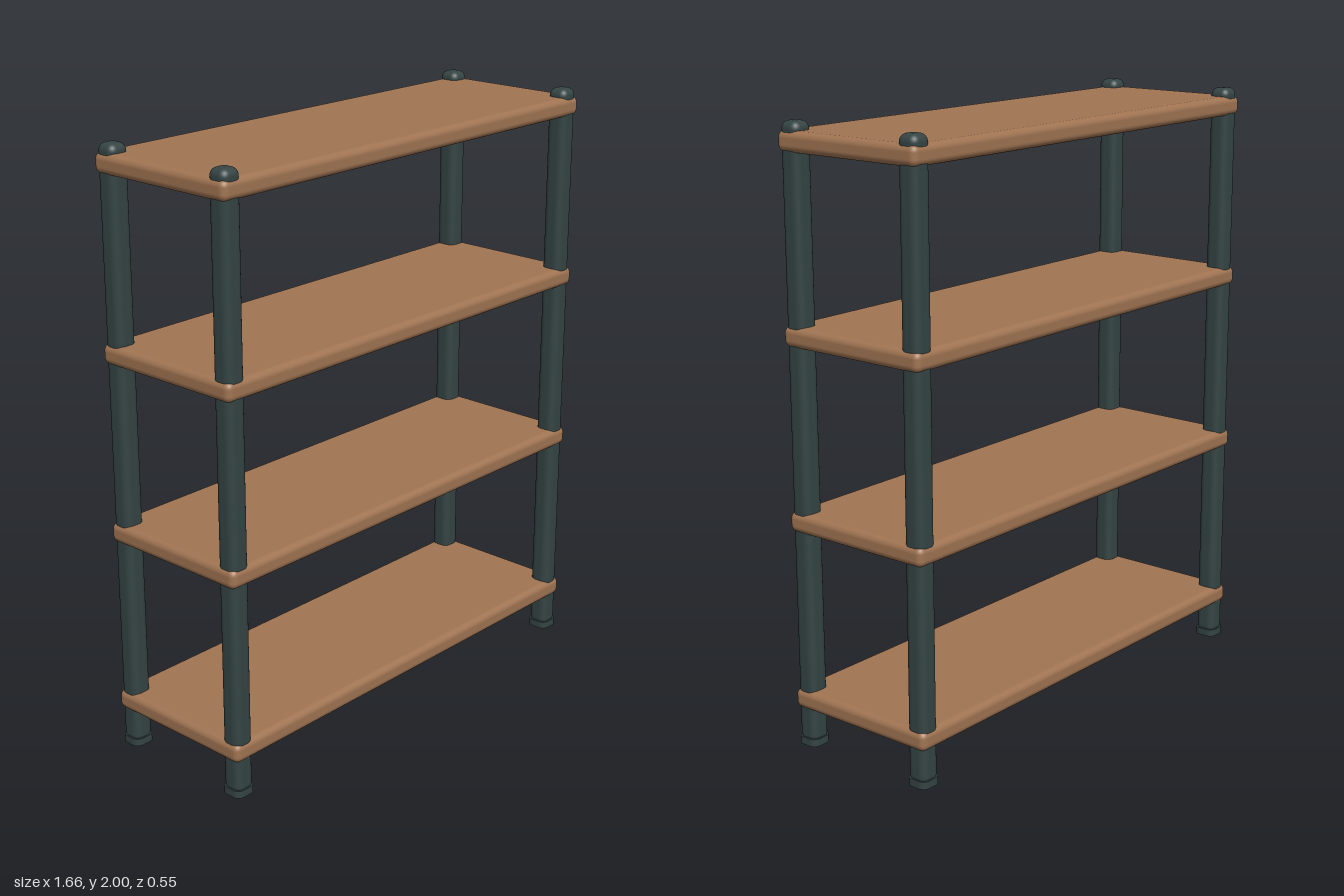
import * as THREE from 'three';
import { RoundedBoxGeometry } from 'three/addons/geometries/RoundedBoxGeometry.js';

const wood = new THREE.MeshStandardMaterial({ color: 0xa07452 });
wood.name = 'warm wood';
const steel = new THREE.MeshStandardMaterial({ color: 0x354444 });
steel.name = 'dark slate metal';

// Square outline with rounded corners
function roundedSquare(half, r) {
  const s = new THREE.Shape();
  const c = half - r;
  s.absarc(c, c, r, 0, Math.PI / 2);
  s.absarc(-c, c, r, Math.PI / 2, Math.PI);
  s.absarc(-c, -c, r, Math.PI, Math.PI * 1.5);
  s.absarc(c, -c, r, Math.PI * 1.5, Math.PI * 2);
  return s;
}

function addMesh(parent, name, geometry, material, x, y, z) {
  const mesh = new THREE.Mesh(geometry, material);
  mesh.name = name;
  mesh.position.set(x, y, z);
  parent.add(mesh);
}

export function createModel() {
  const model = new THREE.Group();
  model.name = 'shelvingUnit';

  // Four evenly spaced boards with softened edges
  const boardGeo = new RoundedBoxGeometry(1.66, 0.065, 0.554, 4, 0.022);
  for (let i = 0; i < 4; i++) {
    addMesh(model, `shelf${i + 1}`, boardGeo, wood, 0, 0.157 + i * 0.594, 0);
  }

  // Corner posts with rounded tops, each standing on a slightly wider foot
  const postGeo = new RoundedBoxGeometry(0.072, 1.99, 0.072, 4, 0.025);
  const footGeo = new THREE.ExtrudeGeometry(roundedSquare(0.039, 0.025), {
    depth: 0.025, bevelEnabled: false, curveSegments: 6,
  });
  footGeo.rotateX(-Math.PI / 2);
  for (const [side, x] of [['Left', 0.787], ['Right', -0.787]]) {
    for (const [end, z] of [['front', 0.236], ['back', -0.236]]) {
      const leg = new THREE.Group();
      leg.name = `${end}${side}Leg`;
      leg.position.set(x, 0, z);
      addMesh(leg, 'post', postGeo, steel, 0, 1.005, 0);
      addMesh(leg, 'foot', footGeo, steel, 0, 0, 0);
      model.add(leg);
    }
  }
  return model;
}
